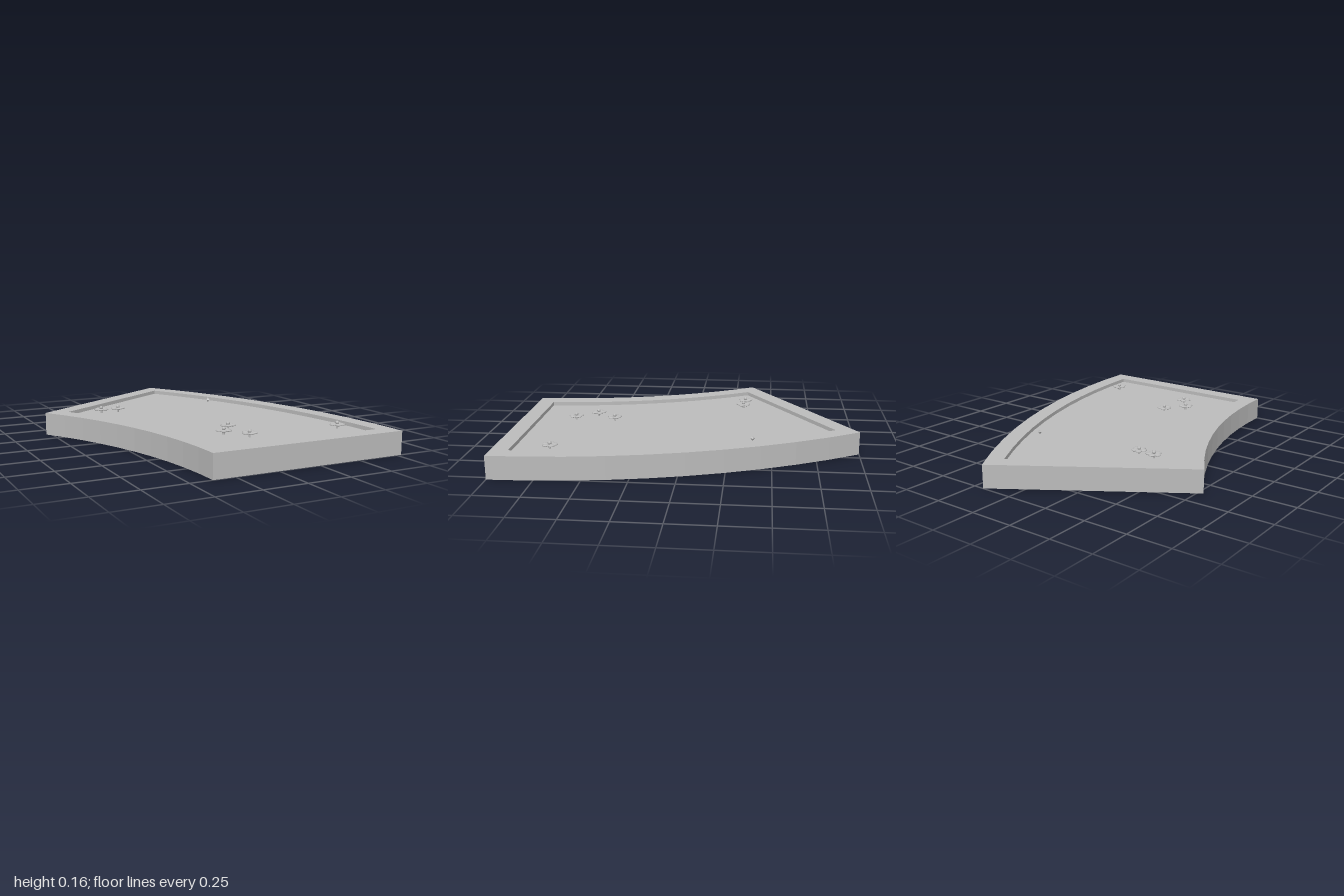
import * as THREE from 'three';

const stone = new THREE.MeshStandardMaterial({ color: 0xbbbbbb });
stone.name = 'stone grey';

const SWEEP = THREE.MathUtils.degToRad(33), STEPS = 10;
const CENTRE_X = -2.89, CENTRE_Z = 1, INNER_R = 2.515, OUTER_R = 3.67;
const TOP = 0.133, FLOOR = 0.111;

// Outline of the curved section, moved inwards by inset, anticlockwise from above
function outline(inset, y) {
  const arc = (r) => Array.from({ length: STEPS + 1 }, (_, i) => {
    const gap = Math.asin(inset / r);
    const a = gap + (SWEEP - 2 * gap) * i / STEPS;
    return new THREE.Vector3(CENTRE_X + r * Math.cos(a), y, CENTRE_Z - r * Math.sin(a));
  });
  return [...arc(OUTER_R - inset), ...arc(INNER_R + inset).reverse()];
}

// Slab with raised rim: outer wall, rim top, recess wall, floor and underside
function slabGeometry() {
  const loops = [outline(0, 0), outline(0, TOP), outline(0.097, TOP), outline(0.097, FLOOR)];
  const points = [];
  for (let k = 0; k < 3; k++) {
    const a = loops[k], b = loops[k + 1];
    for (let i = 0; i < a.length; i++) {
      const j = (i + 1) % a.length;
      points.push(a[i], a[j], b[j], a[i], b[j], b[i]);
    }
  }
  const cap = (loop, up) => {
    const flat = loop.map((p) => new THREE.Vector2(p.x, -p.z));
    for (const [a, b, c] of THREE.ShapeUtils.triangulateShape(flat, [])) {
      points.push(loop[a], loop[up ? b : c], loop[up ? c : b]);
    }
  };
  cap(loops[3], true);
  cap(loops[0], false);
  const geometry = new THREE.BufferGeometry().setFromPoints(points);
  geometry.computeVertexNormals();
  return geometry;
}

function add(parent, name, geometry, x, y, z) {
  const mesh = new THREE.Mesh(geometry, stone);
  mesh.name = name;
  mesh.position.set(x, y, z);
  parent.add(mesh);
  return mesh;
}

export function createModel() {
  const model = new THREE.Group();
  model.name = 'curvedGardenSection';
  add(model, 'rimmedSlab', slabGeometry(), 0, 0, 0);

  // Small five-petalled flowers: short stem, flattened petals, round centre
  const petal = new THREE.SphereGeometry(0.02, 10, 6).scale(1, 0.3, 1);
  const disc = new THREE.CylinderGeometry(0.02, 0.02, 0.006, 10);
  const stem = new THREE.CylinderGeometry(0.006, 0.006, 0.025, 6);
  const heart = new THREE.SphereGeometry(0.011, 8, 6);
  const spots = [
    [-0.44, -0.33, 0.2], [-0.335, -0.32, 0.5], [0.015, 0.45, 0.3],
    [-0.075, 0.565, 0.1], [0.015, 0.685, 0.4], [0.57, 0.705, 0.25],
  ];
  for (const [x, z, turn] of spots) {
    const flower = new THREE.Group();
    flower.name = 'flower';
    flower.position.set(x, FLOOR, z);
    flower.rotation.y = turn;
    add(flower, 'stem', stem, 0, 0.0125, 0);
    add(flower, 'flowerDisc', disc, 0, 0.024, 0);
    for (let i = 0; i < 5; i++) {
      const a = i * Math.PI * 2 / 5;
      add(flower, 'petal', petal, 0.026 * Math.sin(a), 0.024, -0.026 * Math.cos(a));
    }
    add(flower, 'flowerCentre', heart, 0, 0.033, 0);
    model.add(flower);
  }

  // Single sprout near the outer curve
  const sprout = add(model, 'sprout', new THREE.OctahedronGeometry(0.014), 0.335, 0.127, -0.39);
  sprout.rotation.y = 0.3;
  sprout.scale.set(0.8, 1.1, 1);
  return model;
}
